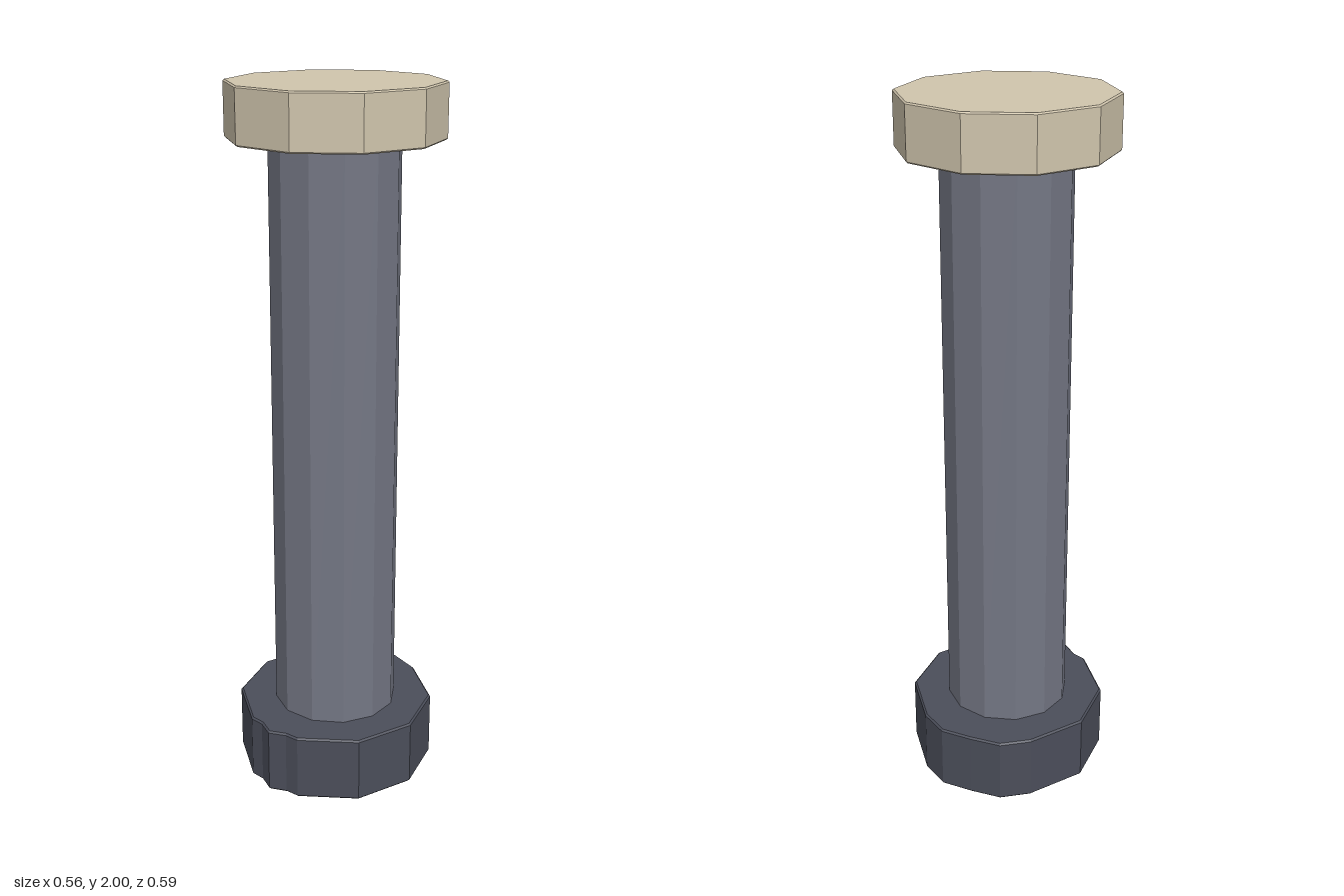
import * as THREE from 'three';

// Corners of a regular polygon as [x, z], first corner at the front
const ring = (radius, sides) => Array.from({ length: sides }, (_, i) => {
  const a = (i / sides) * Math.PI * 2;
  return [radius * Math.sin(a), radius * Math.cos(a)];
});

// Upright prism from an [x, z] outline, with finely chamfered rims
function slab(name, outline, y0, y1, chamfer, material) {
  const shape = new THREE.Shape(outline.map(([x, z]) => new THREE.Vector2(x, -z)));
  const geometry = new THREE.ExtrudeGeometry(shape, {
    depth: y1 - y0 - 2 * chamfer,
    bevelEnabled: chamfer > 0,
    bevelThickness: chamfer,
    bevelSize: chamfer,
    bevelOffset: -chamfer,
    bevelSegments: 1,
  });
  geometry.rotateX(-Math.PI / 2).translate(0, y0 + chamfer, 0);
  const mesh = new THREE.Mesh(geometry, material);
  mesh.name = name;
  return mesh;
}

export function createModel() {
  const paleStone = new THREE.MeshStandardMaterial({ color: 0xd0c5ad, flatShading: true });
  paleStone.name = 'pale stone';
  const greyStone = new THREE.MeshStandardMaterial({ color: 0x747784, flatShading: true });
  greyStone.name = 'grey stone';
  const darkStone = new THREE.MeshStandardMaterial({ color: 0x4b4e5a, flatShading: true });
  darkStone.name = 'dark stone';

  // Base outline: a decagon whose rough spots swell out at the back and front left
  const baseOutline = [];
  ring(0.287, 10).forEach((corner, i) => {
    baseOutline.push(corner);
    const a = ((i + 0.5) / 10) * Math.PI * 2;
    if (i === 4 || i === 5) baseOutline.push([0.298 * Math.sin(a), 0.298 * Math.cos(a)]);
    if (i === 9) baseOutline.push([-0.13, 0.247], [-0.092, 0.283], [-0.04, 0.277]);
  });

  const group = new THREE.Group();
  group.name = 'column';
  group.add(slab('base', baseOutline, 0, 0.195, 0.005, darkStone));

  // Twelve-sided shaft, set slightly into the base and the capital
  const shaft = new THREE.Mesh(new THREE.CylinderGeometry(0.179, 0.179, 1.68, 12), greyStone);
  shaft.name = 'shaft';
  shaft.position.y = 1.02;
  group.add(shaft);

  group.add(slab('capital', ring(0.295, 10), 1.85, 2, 0.004, paleStone));
  return group;
}
